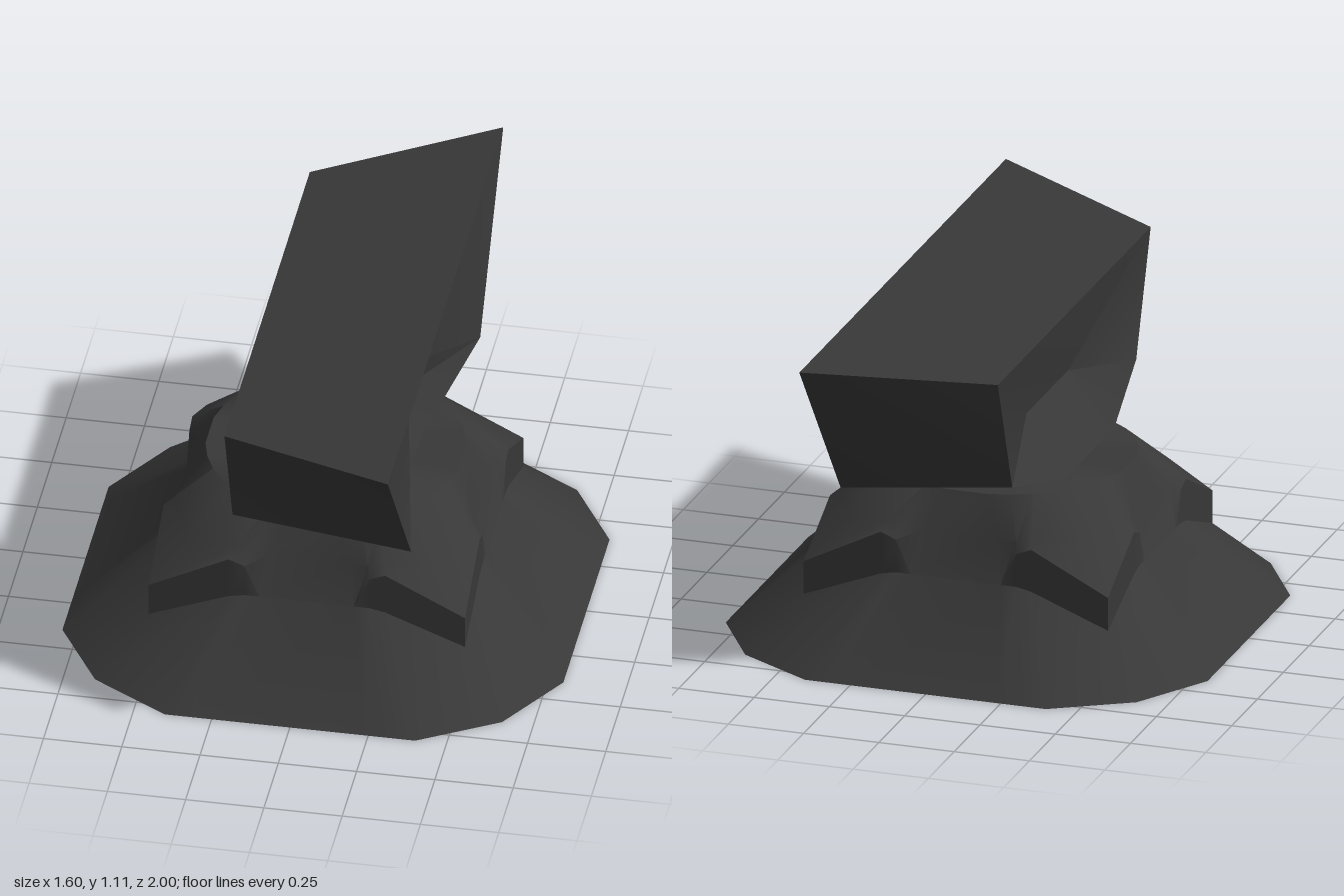
import * as THREE from 'three';
import { toCreasedNormals } from 'three/addons/utils/BufferGeometryUtils.js';

const material = new THREE.MeshStandardMaterial({ color: 0x383838 });

function makeMesh(name, points, faces, crease) {
  const geometry = new THREE.BufferGeometry();
  geometry.setAttribute('position', new THREE.Float32BufferAttribute(points.flat(), 3));
  geometry.setIndex(faces.flat());
  const mesh = new THREE.Mesh(toCreasedNormals(geometry, crease), material);
  mesh.name = name;
  return mesh;
}

// Mound: one side's cross-sections, mirrored in x and turned four times
function createMound() {
  const top = (deg) => {
    const a = THREE.MathUtils.degToRad(deg);
    return [0.41 * Math.cos(a), 0.54, 0.41 * Math.sin(a)];
  };
  // Each row runs from the corner to the middle of a side
  const rows = [
    [[0, 0, 0], [0, 0, 0], [0, 0, 0], [0, 0, 0]],
    [[0.65, 0, 0.65], [0.4, 0, 0.8], [0.32, 0, 0.8], [0.24, 0, 0.8]],
    [[0.505, 0.17, 0.505], [0.25, 0.27, 0.505], [0.2, 0.28, 0.505], [0.15, 0.28, 0.505]],
    [[0.505, 0.28, 0.505], [0.25, 0.41, 0.505], [0.2, 0.39, 0.505], [0.15, 0.28, 0.505]],
    [[0.4, 0.41, 0.4], [0.24, 0.435, 0.475], [0.19, 0.42, 0.475], [0.13, 0.41, 0.457]],
    [top(45), top(60), top(70), top(80)],
    [[0, 0.54, 0], [0, 0.54, 0], [0, 0.54, 0], [0, 0.54, 0]],
  ];
  const points = [];
  const faces = [];
  const columns = 28;
  rows.forEach((row, r) => {
    const side = [
      ...row.map(([x, y, z]) => [-x, y, z]),
      ...row.slice(1).reverse(),
    ];
    for (let turn = 0; turn < 4; turn++) {
      const c = [1, 0, -1, 0][turn];
      const s = [0, 1, 0, -1][turn];
      for (const [x, y, z] of side) points.push([x * c + z * s, y, z * c - x * s]);
    }
    if (r === rows.length - 1) return;
    for (let i = 0; i < columns; i++) {
      const a = r * columns + i;
      const b = r * columns + ((i + 1) % columns);
      faces.push([a, b, b + columns], [a, b + columns, a + columns]);
    }
  });
  return makeMesh('moundBase', points, faces, 0.75);
}

// Head: wedge block with notched sides, drawn down into a narrow neck
function createHead() {
  const corners = {
    a: [0.35, 1.11, 1], b: [0.35, 1.11, -1],
    c: [-0.22, 1.045, -0.74], d: [-0.22, 1.045, 0.74],
    A: [0.35, 0.58, 0.6], E: [0.35, 0.58, -0.6],
    B: [-0.22, 0.65, 0.6], C: [-0.22, 0.65, -0.6],
    P: [0.15, 0.72, 0], Q: [0.235, 0.79, 0.02], R: [0.22, 0.79, -0.13],
    N: [-0.13, 0.745, 0.2], M: [-0.13, 0.745, -0.2],
    G: [0.26, 0.535, 0.13], H: [0.26, 0.535, -0.13],
    F: [-0.26, 0.535, 0.26], K: [-0.26, 0.535, -0.17],
  };
  const names = Object.keys(corners);
  const triangles = [
    'abc acd', // top
    'aAQ aQR aRb bRE', // left side
    'APQ PER PRQ AGP GHP HEP', // left notch and neck
    'cCM cMN cNd dNB', // right side
    'CKM KFN KNM FBN', // right notch and neck
    'dBA dAa BFG BGA', // front end and underside
    'bEC bCc EHK EKC', // back end and underside
  ].join(' ').split(' ');
  const faces = triangles.map((t) => [...t].map((n) => names.indexOf(n)));
  return makeMesh('wedgeHead', Object.values(corners), faces, 0.5);
}

export function createModel() {
  const group = new THREE.Group();
  group.name = 'pedestalWithWedgeHead';
  group.add(createMound(), createHead());
  return group;
}
